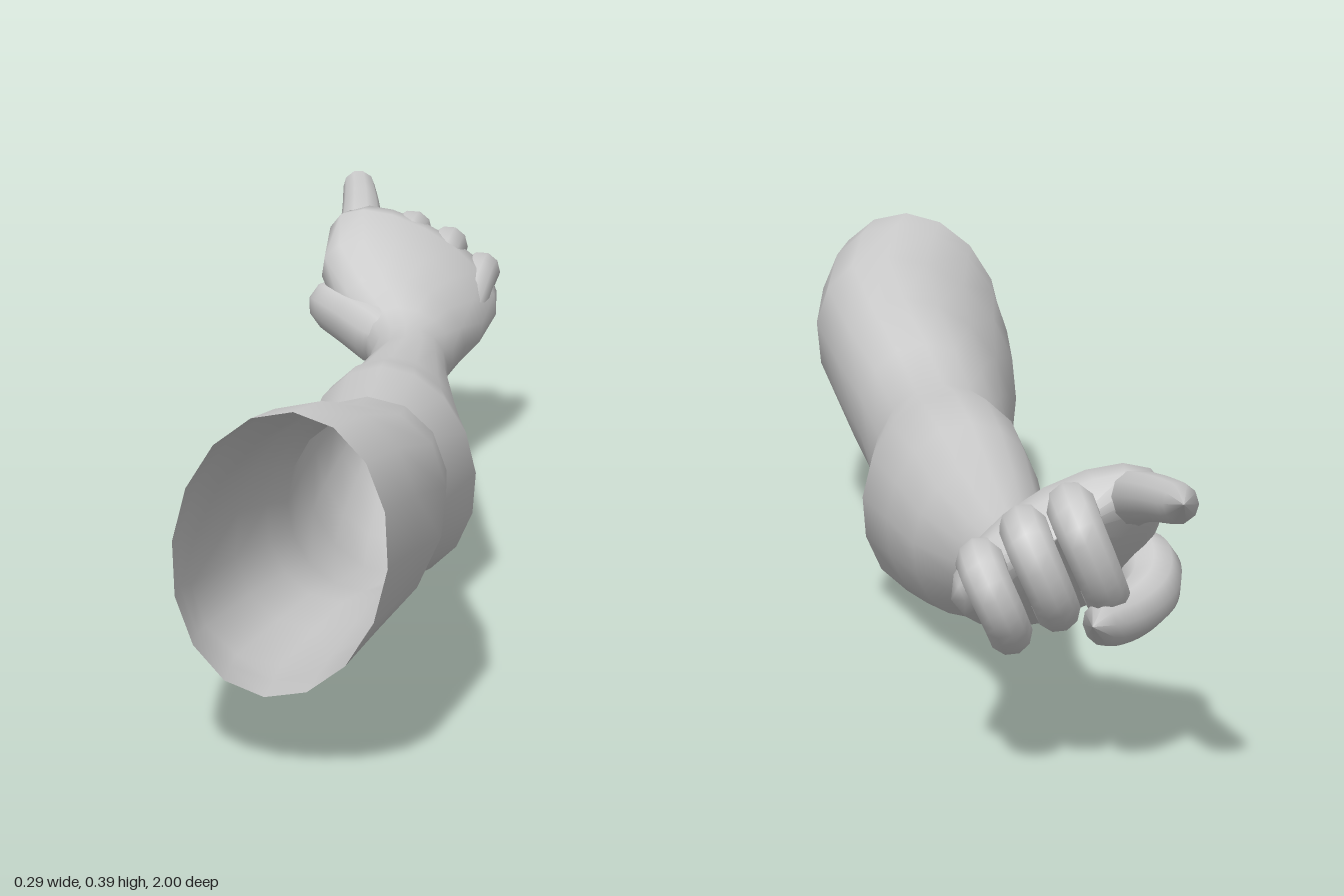
import * as THREE from 'three';

const material = new THREE.MeshStandardMaterial({ color: 0xcccccc, side: THREE.DoubleSide });

// Arm sections, shoulder to knuckles: [z, xMin, xMax, yMin, yMax, lean]
const SECTIONS = [
  [0.945, -0.146, 0.097, 0.085, 0.39, 0.12],
  [0.85, -0.147, 0.12, 0.075, 0.385, 0.2],
  [0.72, -0.145, 0.142, 0.055, 0.357, 0.3],
  [0.53, -0.115, 0.132, 0.048, 0.326, 0.25],
  [0.39, -0.092, 0.115, 0.046, 0.284, 0.12],
  [0.27, -0.078, 0.108, 0.03, 0.25, 0],
  [0.08, -0.076, 0.142, 0.003, 0.272, -0.1],
  [-0.05, -0.072, 0.125, 0.016, 0.255, -0.1],
  [-0.2, -0.06, 0.108, 0.038, 0.23, -0.1],
  [-0.4, -0.036, 0.078, 0.085, 0.219, 0],
  [-0.5, -0.034, 0.072, 0.106, 0.215, -0.1],
  [-0.55, -0.048, 0.078, 0.116, 0.23, -0.2],
  [-0.61, -0.085, 0.09, 0.122, 0.262, -0.35],
  [-0.68, -0.118, 0.112, 0.135, 0.302, -0.5],
  [-0.75, -0.112, 0.128, 0.16, 0.335, -0.65],
  [-0.8, -0.09, 0.125, 0.19, 0.333, -0.8],
  [-0.84, 0.02, 0.022, 0.27, 0.272, -0.85],
];

// Smooth skin through leaning elliptical sections, open and slanted at the shoulder
function armGeometry(sides = 16) {
  const positions = [];
  const index = [];
  SECTIONS.forEach(([z, x0, x1, y0, y1, lean], i) => {
    const slant = Math.max(0, z - 0.75) * 2.3;
    for (let j = 0; j < sides; j++) {
      const t = (j / sides) * Math.PI * 2;
      const dx = ((x1 - x0) / 2) * Math.cos(t - lean);
      const dy = ((y1 - y0) / 2) * Math.sin(t);
      positions.push((x0 + x1) / 2 + dx, (y0 + y1) / 2 + dy, z + slant * (dx - dy / 3));
      if (i === 0) continue;
      const k = (j + 1) % sides;
      const a = (i - 1) * sides;
      const b = i * sides;
      index.push(a + j, b + j, a + k, a + k, b + j, b + k);
    }
  });
  const geometry = new THREE.BufferGeometry();
  geometry.setAttribute('position', new THREE.Float32BufferAttribute(positions, 3));
  geometry.setIndex(index);
  geometry.computeVertexNormals();
  return geometry;
}

// Tapered tube with both ends rounded
function digit(name, points, rBase, rTip) {
  const path = new THREE.CatmullRomCurve3(points.map((p) => new THREE.Vector3(...p)));
  const segments = 28;
  const sides = 10;
  const geometry = new THREE.TubeGeometry(path, segments, 1, sides);
  const length = path.getLength();
  const position = geometry.attributes.position;
  const v = new THREE.Vector3();
  for (let i = 0; i < position.count; i++) {
    const u = Math.floor(i / (sides + 1)) / segments;
    const r = THREE.MathUtils.lerp(rBase, rTip, u);
    const intoEnd = Math.max(0, 1 - (Math.min(u, 1 - u) * length) / r);
    const radius = r * Math.sqrt(1 - intoEnd * intoEnd);
    const centre = path.getPointAt(u);
    v.fromBufferAttribute(position, i).sub(centre).multiplyScalar(radius).add(centre);
    position.setXYZ(i, v.x, v.y, v.z);
  }
  const mesh = new THREE.Mesh(geometry, material);
  mesh.name = name;
  return mesh;
}

export function createModel() {
  const model = new THREE.Group();
  model.name = 'pointingArm';

  const arm = new THREE.Mesh(armGeometry(), material);
  arm.name = 'armAndPalm';
  model.add(arm);

  const hand = new THREE.Group();
  hand.name = 'fingers';
  model.add(hand);

  // Extended index finger
  hand.add(digit('indexFinger', [
    [-0.05, 0.25, -0.67], [-0.068, 0.3, -0.78], [-0.077, 0.321, -0.88], [-0.09, 0.337, -1],
  ], 0.036, 0.022));

  // Curled fingers, stepping down across the knuckles
  const curled = [
    ['middleFinger', 0.0, 0.298, -0.848],
    ['ringFinger', 0.052, 0.275, -0.855],
    ['littleFinger', 0.1, 0.24, -0.848],
  ];
  curled.forEach(([name, x, y, z], i) => {
    const s = 1 - i * 0.1;
    hand.add(digit(name, [
      [x - 0.02, y - 0.05, -0.69],
      [x - 0.002, y - 0.005, -0.785],
      [x, y - 0.012, z],
      [x - 0.018 * s, y - 0.055 * s, z - 0.003],
      [x - 0.036 * s, y - 0.095 * s, z + 0.025],
      [x - 0.036 * s, y - 0.095 * s, z + 0.085],
    ], 0.032 - i * 0.001, 0.024));
  });

  // Thumb folded under the index finger
  hand.add(digit('thumb', [
    [0.0, 0.18, -0.54], [-0.06, 0.2, -0.62], [-0.1, 0.207, -0.69],
    [-0.095, 0.19, -0.755], [-0.06, 0.177, -0.81], [-0.015, 0.175, -0.858],
  ], 0.047, 0.026));

  return model;
}
